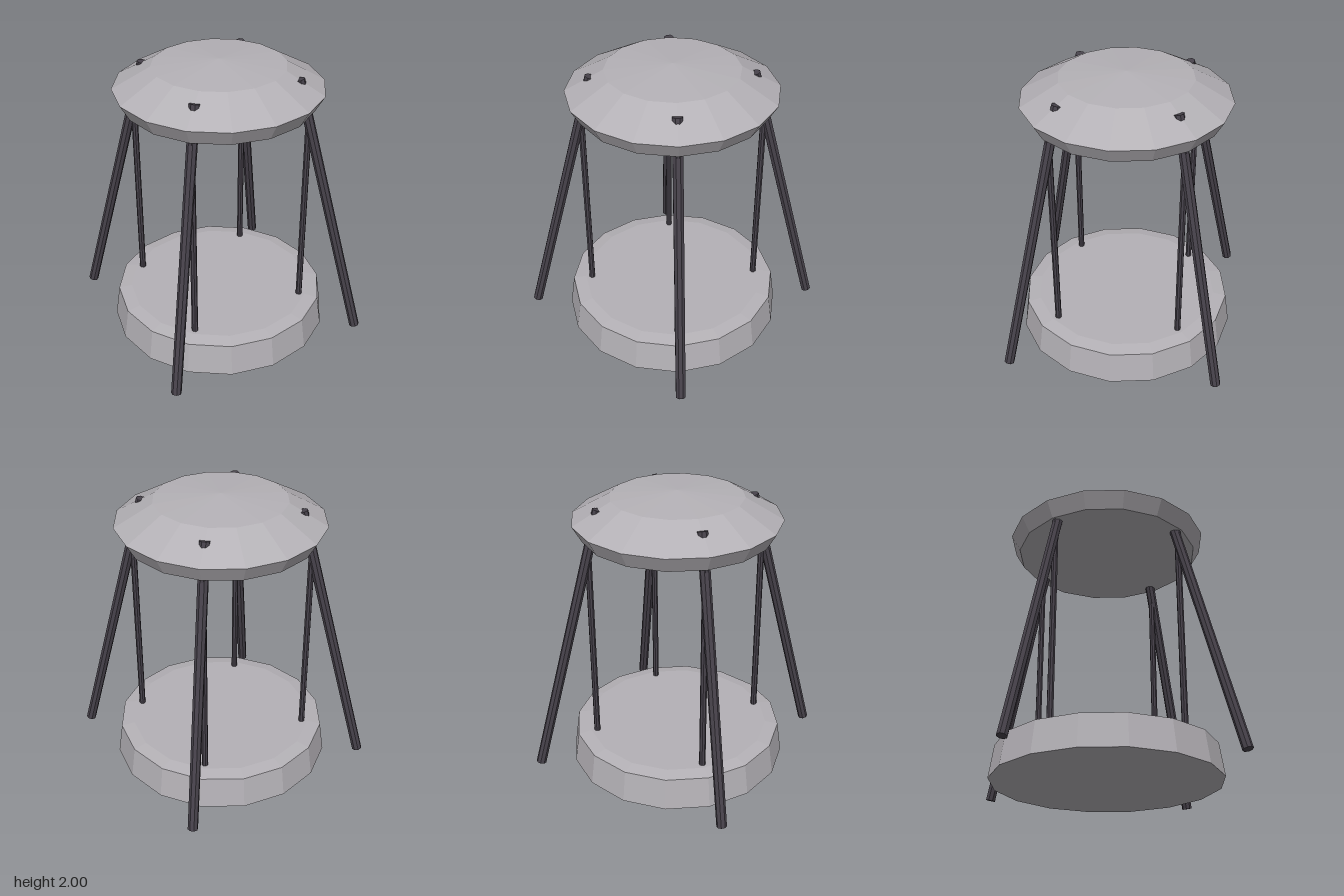
import * as THREE from 'three';

const mat = (name, color) => {
  const m = new THREE.MeshStandardMaterial({ color, flatShading: true });
  m.name = name;
  return m;
};

export function createModel() {
  const group = new THREE.Group();
  group.name = 'pavilion';
  const shell = mat('pale grey', 0xb4b1b6);
  const strut = mat('dark grey', 0x47424b);
  const glow = mat('green trim', 0x3fd08a);

  const add = (name, geometry, material) => {
    const mesh = new THREE.Mesh(geometry, material);
    mesh.name = name;
    group.add(mesh);
    return mesh;
  };

  // Sixteen-sided solid of revolution, profile listed from bottom to top
  const turned = (name, profile) =>
    add(name, new THREE.LatheGeometry(profile.map(([r, y]) => new THREE.Vector2(r, y)), 16), shell);

  // Straight round bar between two points
  const bar = (name, a, b, radius) => {
    const dir = b.clone().sub(a);
    const mesh = add(name, new THREE.CylinderGeometry(radius, radius, dir.length(), 8), strut);
    mesh.position.copy(a).lerp(b, 0.5);
    mesh.quaternion.setFromUnitVectors(new THREE.Vector3(0, 1, 0), dir.normalize());
  };

  // Plinth with a slightly raised floor, and the faceted roof
  turned('base', [[0, 0], [0.775, 0], [0.743, 0.222], [0.65, 0.238], [0, 0.238]]);
  turned('roof', [[0, 1.71], [0.64, 1.71], [0.703, 1.82], [0.445, 1.965], [0, 2]]);

  // Thin trim ring sunk into the floor edge
  const ring = add('floorRing', new THREE.TorusGeometry(0.645, 0.008, 6, 16), glow);
  ring.rotation.set(Math.PI / 2, 0, Math.PI / 2);
  ring.position.y = 0.2305;

  // Four upright posts, each with a splayed leg that pierces the roof
  for (let i = 0; i < 4; i++) {
    const angle = Math.PI / 8 + (i * Math.PI) / 2;
    const at = (r, y) => new THREE.Vector3(Math.cos(angle) * r, y, -Math.sin(angle) * r);
    bar('post', at(0.605, 0.2), at(0.605, 1.75), 0.022);
    bar('leg', at(1.027, 0.04), at(0.53, 1.92), 0.035);
  }
  return group;
}
